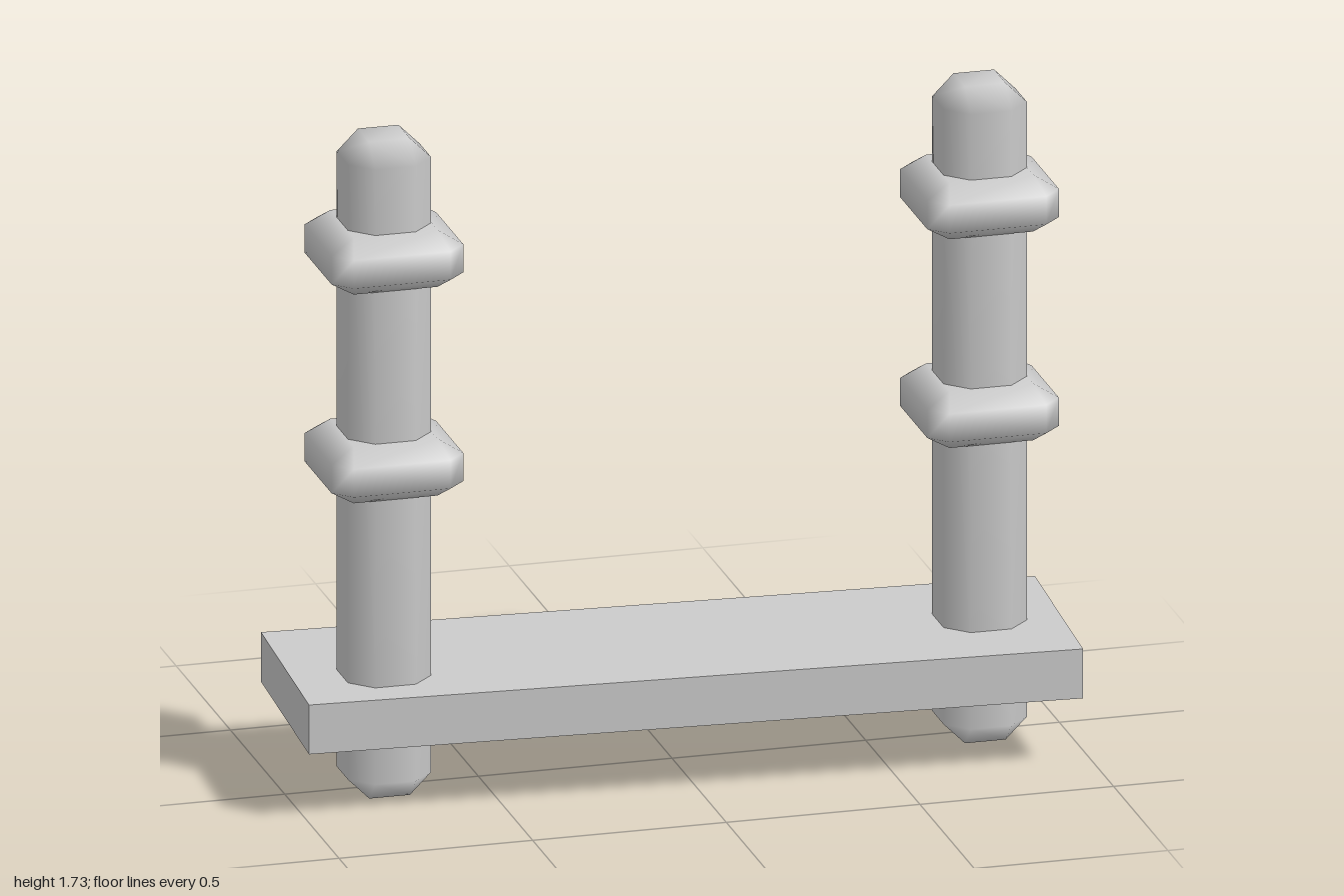
import * as THREE from 'three';
import { ConvexGeometry } from 'three/addons/geometries/ConvexGeometry.js';
import { mergeVertices } from 'three/addons/utils/BufferGeometryUtils.js';

const material = new THREE.MeshStandardMaterial({ color: 0xcccccc });

// Smooth-shaded box with one bevel: cap inset, vertical drop, and plan corner cut
function bevelBox(width, height, depth, inset, drop, corner) {
  const x = width / 2, y = height / 2, z = depth / 2;
  const points = [];
  for (const sx of [-1, 1]) for (const sy of [-1, 1]) for (const sz of [-1, 1]) {
    points.push(
      new THREE.Vector3(sx * (x - inset), sy * y, sz * (z - inset)),
      new THREE.Vector3(sx * x, sy * (y - drop), sz * (z - corner)),
      new THREE.Vector3(sx * (x - corner), sy * (y - drop), sz * z)
    );
  }
  const hull = new ConvexGeometry(points);
  hull.deleteAttribute('normal');
  const geometry = mergeVertices(hull, 1e-4);
  geometry.computeVertexNormals();
  return geometry;
}

function addPart(parent, name, geometry, y) {
  const mesh = new THREE.Mesh(geometry, material);
  mesh.name = name;
  mesh.position.y = y;
  parent.add(mesh);
  return mesh;
}

export function createModel() {
  const model = new THREE.Group();
  model.name = 'postsOnPlank';

  // Plank, turned slightly against the posts
  const plank = addPart(model, 'plank', new THREE.BoxGeometry(1.97, 0.13, 0.56), 0.245);
  plank.rotation.y = -0.058;

  // Two posts through the plank, each with two collars
  const postGeometry = bevelBox(0.215, 1.73, 0.215, 0.055, 0.055, 0.055);
  const collarGeometry = bevelBox(0.34, 0.15, 0.34, 0.062, 0.038, 0.045);
  for (const [name, x] of [['rightPost', -0.754], ['leftPost', 0.784]]) {
    const post = new THREE.Group();
    post.name = name;
    post.position.set(x, 0, 0.036);
    addPart(post, 'shaft', postGeometry, 0.865);
    addPart(post, 'lowerCollar', collarGeometry, 0.877);
    addPart(post, 'upperCollar', collarGeometry, 1.427);
    model.add(post);
  }
  return model;
}
